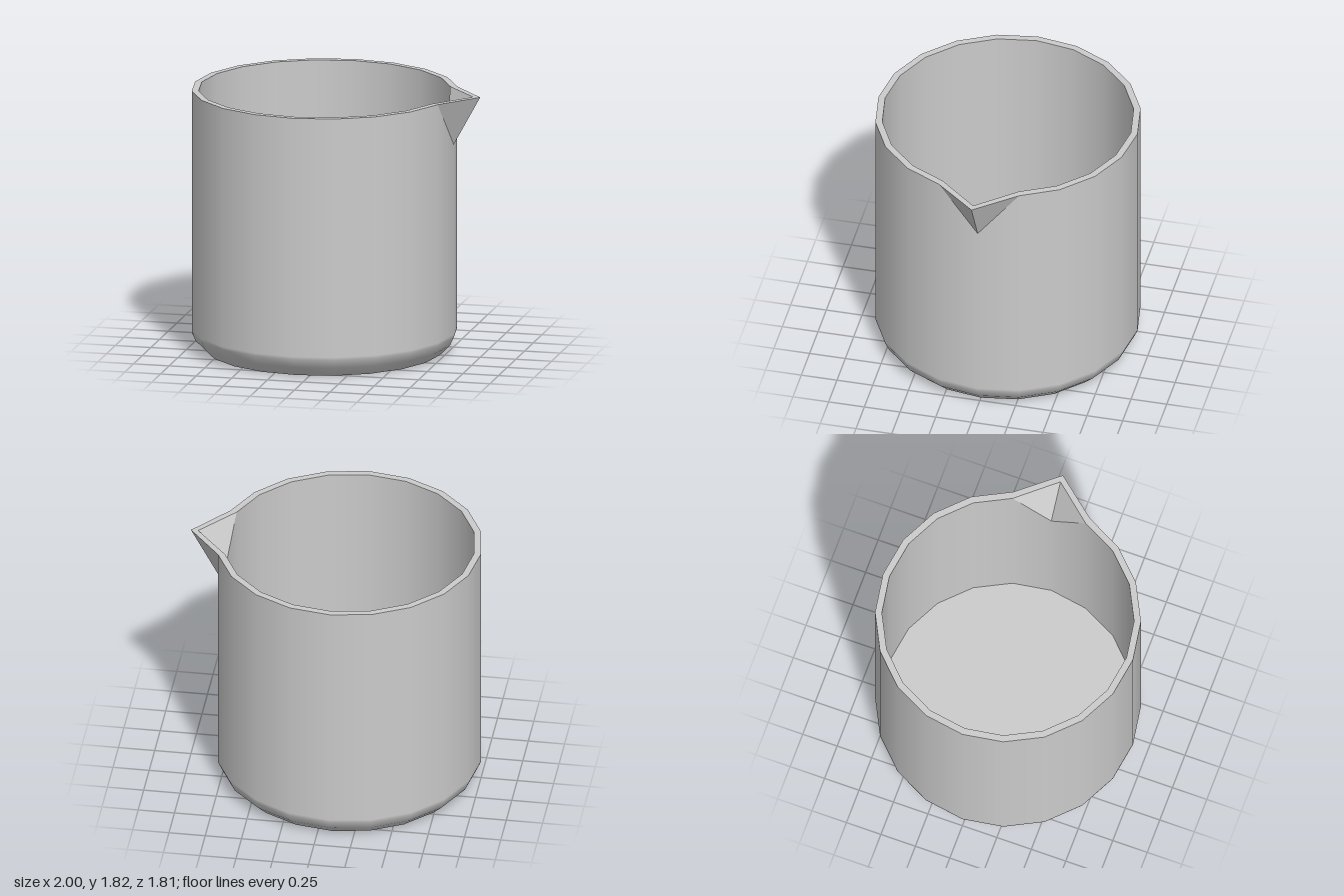
import * as THREE from 'three';

const SIDES = 20, CX = -0.093, TOP = 1.82, FLOOR = 0.13;
const R_OUT = 0.907, R_IN = 0.86;
// where the pouring lip starts on the wall (apexY) and how far it reaches (tipX)
const OUTER = { r: R_OUT, apexY: 1.48, tipX: 1.0 };
const INNER = { r: R_IN, apexY: 1.51, tipX: 0.95 };

export function createModel() {
  const group = new THREE.Group();
  const material = new THREE.MeshStandardMaterial({ color: 0xcccccc });
  const add = (name, geometry) => {
    const mesh = new THREE.Mesh(geometry, material);
    mesh.name = name;
    group.add(mesh);
    return mesh;
  };

  // Wall turned from a profile; its top corner at +x drops to make a V notch
  const wall = (profile, { apexY }) => {
    const geo = new THREE.LatheGeometry(profile.map(p => new THREE.Vector2(...p)), SIDES, Math.PI / 2);
    const pos = geo.attributes.position;
    for (let i = 0; i < pos.count; i++) {
      const atNotch = pos.getX(i) > 0 && Math.abs(pos.getZ(i)) < 0.001;
      if (atNotch && pos.getY(i) > TOP - 0.001) pos.setY(i, apexY);
    }
    return geo.translate(CX, 0, 0);
  };
  add('outerWall', wall([[0.81, 0], [0.88, 0.07], [R_OUT, 0.13], [R_OUT, 0.15], [R_OUT, TOP]], OUTER));
  add('innerWall', wall([[R_IN, TOP], [R_IN, FLOOR]], INNER));

  // Flat discs: underside and inner floor
  const disc = (r, y, facing) =>
    new THREE.CircleGeometry(r, SIDES).rotateX(-facing * Math.PI / 2).translate(CX, y, 0);
  add('underside', disc(0.81, 0, -1));
  add('innerFloor', disc(R_IN, FLOOR, 1));

  // Rim: outline and hole are polygons whose +x corner is pulled out to the lip tip
  const outline = ({ r, tipX }) => Array.from({ length: SIDES }, (_, i) => {
    const a = i / SIDES * Math.PI * 2;
    return i === 0 ? new THREE.Vector2(tipX, 0)
      : new THREE.Vector2(CX + r * Math.cos(a), r * Math.sin(a));
  });
  const rim = new THREE.Shape(outline(OUTER));
  rim.holes.push(new THREE.Path(outline(INNER)));
  add('rim', new THREE.ShapeGeometry(rim).rotateX(-Math.PI / 2).translate(0, TOP, 0));

  // Pouring lip: two mirrored triangles, facing outward or inward
  const lip = ({ r, apexY, tipX }, outward) => {
    const a = Math.PI * 2 / SIDES;
    const apex = [CX + r, apexY, 0], tip = [tipX, TOP, 0], verts = [];
    for (const s of [1, -1]) {
      const corner = [CX + r * Math.cos(a), TOP, s * r * Math.sin(a)];
      verts.push(...corner, ...((s > 0) === outward ? [...apex, ...tip] : [...tip, ...apex]));
    }
    const geo = new THREE.BufferGeometry();
    geo.setAttribute('position', new THREE.Float32BufferAttribute(verts, 3));
    geo.computeVertexNormals();
    return geo;
  };
  add('lipOutside', lip(OUTER, true));
  add('lipInside', lip(INNER, false));

  return group;
}
